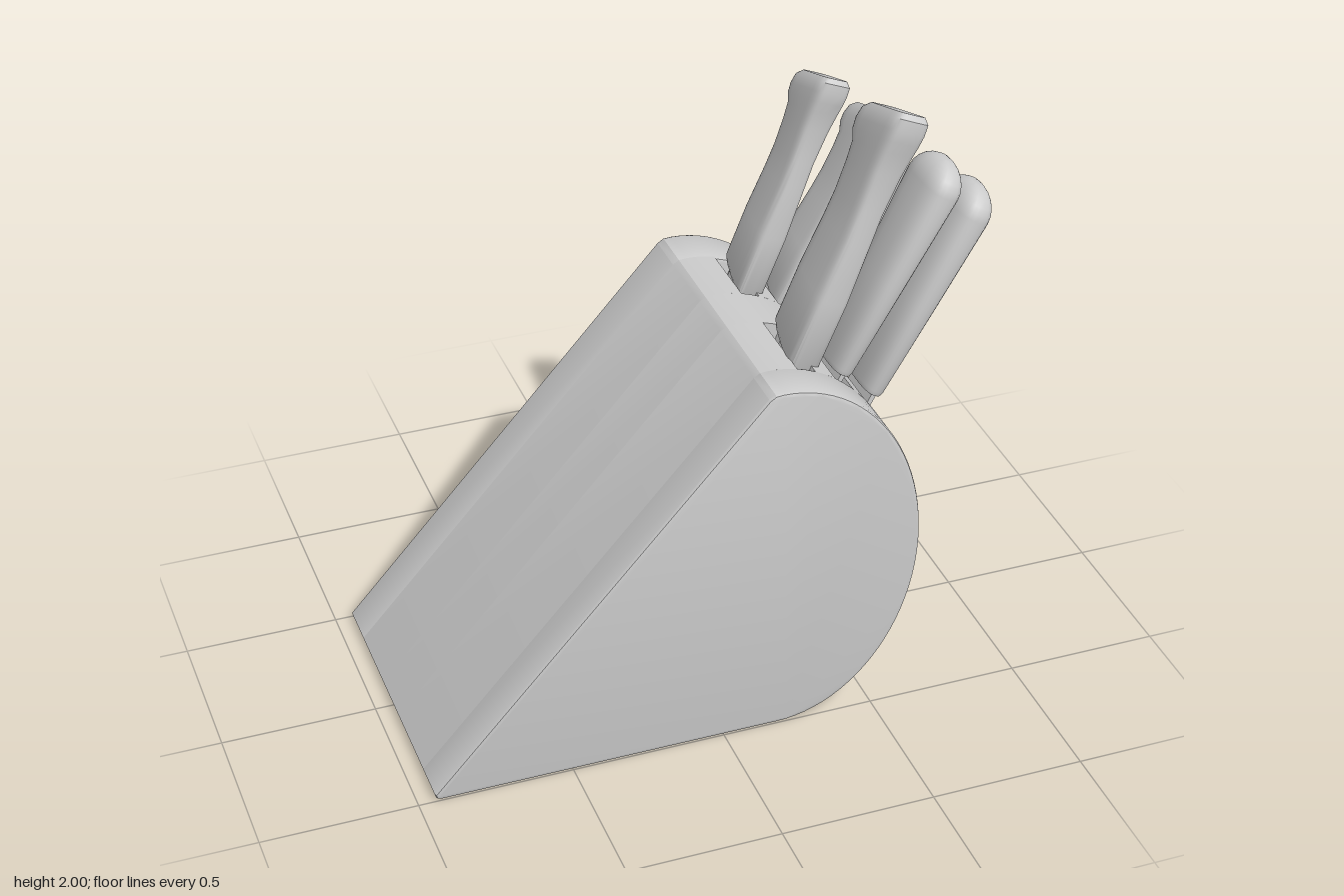
import * as THREE from 'three';
import { toCreasedNormals } from 'three/addons/utils/BufferGeometryUtils.js';

const material = new THREE.MeshStandardMaterial({ color: 0xcccccc });
const CX = 0.18, CY = 0.62, RX = 0.465, RY = 0.62; // curved nose of the block

// Slots: centre x on the curved face and the direction they run in
const slots = [
  { x: 0.305, dir: [0.39, 0.92] },
  { x: 0.43, dir: [0.48, 0.88] },
  { x: 0.53, dir: [0.52, 0.85] },
];
const arcAngle = (x) => Math.acos((x - CX) / RX);
const arcPoint = (a) => new THREE.Vector2(CX + RX * Math.cos(a), CY + RY * Math.sin(a));

// Side outline of the block, optionally notched by the slots
function blockShape(notched) {
  const pts = [[-0.945, 0.02], [-0.94, 0.004], [-0.925, 0]].map((p) => new THREE.Vector2(...p));
  let a = -Math.PI / 2;
  const arcTo = (end) => {
    const n = Math.max(1, Math.ceil((end - a) / 0.07));
    for (let i = 0; i < n; i++) pts.push(arcPoint(a + ((end - a) * i) / n));
    pts.push(arcPoint(end));
    a = end;
  };
  if (notched) {
    for (const { x, dir } of [...slots].reverse()) {
      arcTo(arcAngle(x + 0.03));
      const deep = new THREE.Vector2(...dir).multiplyScalar(-0.12);
      a = arcAngle(x - 0.03);
      pts.push(pts[pts.length - 1].clone().add(deep), arcPoint(a).add(deep));
    }
  }
  arcTo(Math.PI / 2);
  pts.push(new THREE.Vector2(0.155, 1.238), new THREE.Vector2(0.135, 1.225));
  return new THREE.Shape(pts);
}

// One slice of the block between two depths
function blockSlice(name, z0, z1, notched, bevel) {
  const geo = new THREE.ExtrudeGeometry(blockShape(notched), {
    depth: z1 - z0 - 2 * bevel, bevelEnabled: bevel > 0, bevelThickness: bevel,
    bevelSize: bevel, bevelOffset: -bevel, bevelSegments: 2,
  });
  geo.translate(0, 0, z0 + bevel);
  const mesh = new THREE.Mesh(toCreasedNormals(geo, 0.45), material);
  mesh.name = name;
  return mesh;
}

// Loft along y through sections { y, z0, z1, t (thickness), slant }; power sets the squareness
function loft(sections, power) {
  const N = 28, pos = [], idx = [];
  const round = (v) => Math.sign(v) * Math.abs(v) ** (2 / power);
  for (const s of sections) {
    for (let i = 0; i < N; i++) {
      const a = (i / N) * Math.PI * 2;
      const z = (s.z0 + s.z1) / 2 + ((s.z1 - s.z0) / 2) * round(Math.sin(a));
      pos.push((s.t / 2) * round(Math.cos(a)), s.y + s.slant * z, z);
    }
  }
  const last = sections.length - 1;
  for (const s of [sections[0], sections[last]]) {
    const z = (s.z0 + s.z1) / 2;
    pos.push(0, s.y + s.slant * z, z);
  }
  const bottom = N * (last + 1), top = bottom + 1;
  for (let i = 0; i < N; i++) {
    const k = (i + 1) % N;
    for (let j = 0; j < last; j++) {
      const p = j * N, q = p + N;
      idx.push(p + i, q + i, p + k, q + i, q + k, p + k);
    }
    idx.push(bottom, i, k, top, last * N + k, last * N + i);
  }
  const geo = new THREE.BufferGeometry();
  geo.setAttribute('position', new THREE.Float32BufferAttribute(pos, 3));
  geo.setIndex(idx);
  return toCreasedNormals(geo, 0.7);
}

// Grip with a hooked pommel: [fraction, z0, z1, thickness, slant]
function hookedHandle(length, width, thick) {
  return loft([
    [0, -0.08, 0.085, 0.085, -0.33],
    [0.02, -0.087, 0.092, 0.098, -0.33],
    [0.28, -0.087, 0.093, 0.1, -0.15],
    [0.5, -0.085, 0.088, 0.086, 0],
    [0.62, -0.083, 0.08, 0.086, 0.1],
    [0.76, -0.084, 0.078, 0.098, 0.25],
    [0.84, -0.09, 0.084, 0.106, 0.3],
    [0.885, -0.112, 0.09, 0.11, 0.3],
    [0.93, -0.118, 0.093, 0.112, 0.3],
    [0.975, -0.112, 0.09, 0.108, 0.3],
    [1, -0.092, 0.075, 0.085, 0.3],
  ].map(([f, z0, z1, t, slant]) => (
    { y: f * length, z0: z0 * width, z1: z1 * width, t: t * thick, slant })), 5);
}

// Oval grip that widens towards a domed end
function domedHandle(length) {
  const dome = 0.09, sections = [];
  const add = (y, w, t) => sections.push({ y, z0: -w, z1: w, t, slant: 0 });
  add(0, 0.085, 0.065);
  add(0.015, 0.09, 0.075);
  add((length - dome) * 0.5, 0.102, 0.1);
  add(length - dome, 0.114, 0.122);
  for (let i = 1; i <= 6; i++) {
    const a = (i / 6) * 1.5;
    add(length - dome + dome * Math.sin(a), 0.114 * Math.cos(a), 0.122 * Math.cos(a));
  }
  return loft(sections, 2.7);
}

// Handle plus the blade running down into its slot
function knife(name, base, tip, z, makeHandle) {
  const dx = tip[0] - base[0], dy = tip[1] - base[1];
  const group = new THREE.Group();
  group.name = name;
  const handle = new THREE.Mesh(makeHandle(Math.hypot(dx, dy)), material);
  handle.name = 'handle';
  const blade = new THREE.Mesh(new THREE.BoxGeometry(0.016, 0.26, 0.15), material);
  blade.name = 'blade';
  blade.position.y = -0.07;
  group.add(handle, blade);
  group.position.set(base[0], base[1], z);
  group.rotation.z = -Math.atan2(dx, dy);
  return group;
}

export function createModel() {
  const model = new THREE.Group();
  model.name = 'knifeBlock';

  // Block: bevelled outer slices, slotted slices and a plain centre
  const block = new THREE.Group();
  block.name = 'block';
  block.add(
    blockSlice('frontSide', 0.35, 0.5, false, 0.012),
    blockSlice('frontSlots', 0.08, 0.362, true, 0),
    blockSlice('middle', -0.105, 0.08, false, 0),
    blockSlice('backSlots', -0.347, -0.105, true, 0),
    blockSlice('backSide', -0.5, -0.335, false, 0.012),
  );
  model.add(block);

  // Front row: one large hooked knife and two with domed handles
  model.add(
    knife('largeKnife', [0.322, 1.212], [0.64, 1.965], 0.22, (l) => hookedHandle(l, 1.18, 1.12)),
    knife('upperDomedKnife', [0.445, 1.145], [0.79, 1.795], 0.245, domedHandle),
    knife('lowerDomedKnife', [0.55, 1.05], [0.895, 1.695], 0.245, domedHandle),
  );

  // Back row: three hooked knives of decreasing length
  model.add(
    knife('backLongKnife', [0.322, 1.212], [0.59, 1.875], -0.22, (l) => hookedHandle(l, 1, 1)),
    knife('backMiddleKnife', [0.445, 1.14], [0.775, 1.725], -0.22, (l) => hookedHandle(l, 1, 0.95)),
    knife('backShortKnife', [0.56, 1.045], [0.905, 1.49], -0.22, (l) => hookedHandle(l, 1, 0.85)),
  );
  return model;
}
